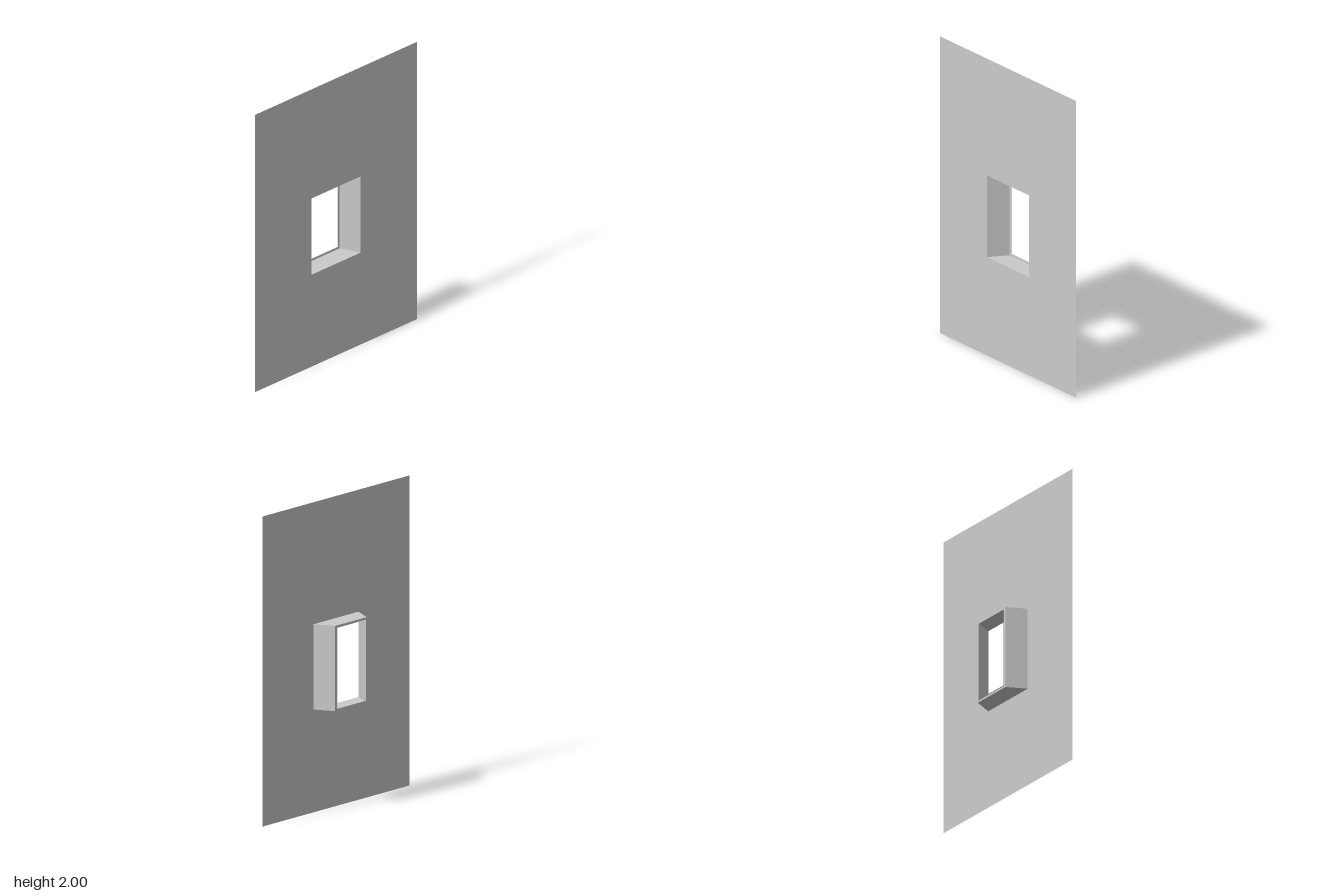
import * as THREE from 'three';

const material = new THREE.MeshStandardMaterial({
  color: 0xcccccc, flatShading: true, side: THREE.DoubleSide,
});

// Rectangle cross-section, counter-clockwise seen from the front
const rect = (halfWidth, bottom, top, z) => [
  [-halfWidth, bottom, z], [halfWidth, bottom, z],
  [halfWidth, top, z], [-halfWidth, top, z],
];

// Band of four flat faces joining two rectangles, facing the opening
function band(name, front, back) {
  const points = [];
  for (let i = 0; i < 4; i++) {
    const j = (i + 1) % 4;
    points.push(...front[i], ...front[j], ...back[j], ...front[i], ...back[j], ...back[i]);
  }
  const geometry = new THREE.BufferGeometry();
  geometry.setAttribute('position', new THREE.Float32BufferAttribute(points, 3));
  geometry.computeVertexNormals();
  const mesh = new THREE.Mesh(geometry, material);
  mesh.name = name;
  return mesh;
}

export function createModel() {
  const group = new THREE.Group();
  group.name = 'wallWithWindowOpening';

  const wallEdge = rect(0.676, 0, 2, 0.066);
  const openingFront = rect(0.207, 0.663, 1.213, 0.066);
  const openingBack = rect(0.145, 0.663, 1.213, -0.061);
  const frameFront = rect(0.131, 0.677, 1.198, -0.061);
  const frameBack = rect(0.131, 0.677, 1.198, -0.067);

  group.add(
    band('wall', wallEdge, openingFront),             // thin sheet around the opening
    band('splayedReveal', openingFront, openingBack), // jambs narrow towards the back
    band('windowFrame', openingBack, frameFront),     // narrow flat rim
    band('frameLip', frameFront, frameBack),          // short return behind the rim
  );
  return group;
}
